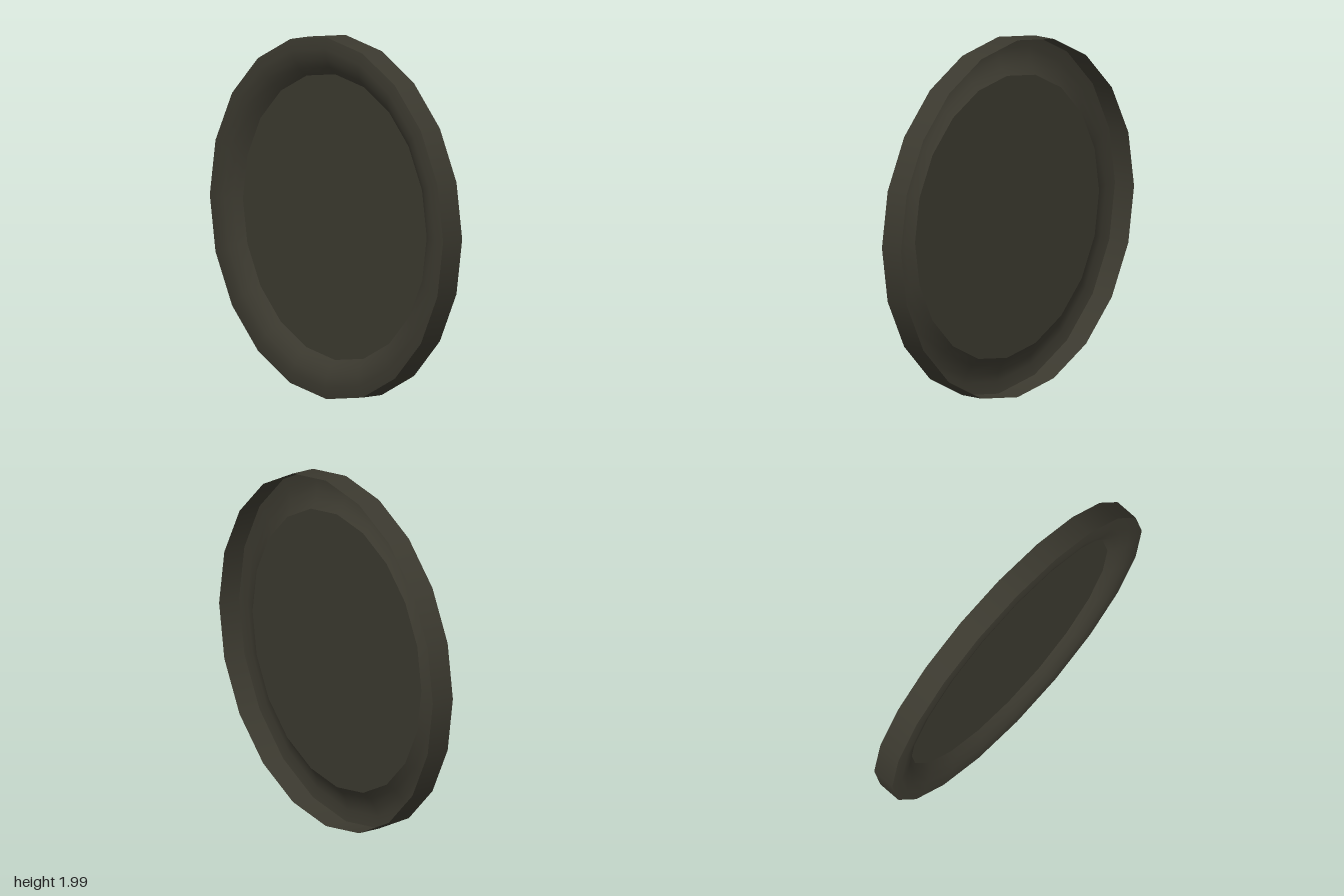
import * as THREE from 'three';

const SIDES = 20;

// Revolves [radius, z] points around the z axis
function revolve(points, material, name) {
  const geometry = new THREE.LatheGeometry(points.map(([r, z]) => new THREE.Vector2(r, z)), SIDES);
  geometry.rotateX(Math.PI / 2);
  const mesh = new THREE.Mesh(geometry, material);
  mesh.name = name;
  return mesh;
}

// Flat tapered hand running from its tail to its tip through the pivot
function makeHand(name, material, tip, tail, z, [tipWidth, midWidth, tailWidth]) {
  const [dx, dy] = [tip[0] - tail[0], tip[1] - tail[1]];
  const length = Math.hypot(dx, dy);
  const mid = length * 0.26;
  const shape = new THREE.Shape([
    [-tailWidth / 2, 0], [tailWidth / 2, 0], [midWidth / 2, mid],
    [tipWidth / 2, length], [-tipWidth / 2, length], [-midWidth / 2, mid],
  ].map(([x, y]) => new THREE.Vector2(x, y)));
  const mesh = new THREE.Mesh(new THREE.ShapeGeometry(shape), material);
  mesh.name = name;
  mesh.position.set(tail[0], tail[1], z);
  mesh.rotation.z = Math.atan2(dy, dx) - Math.PI / 2;
  return mesh;
}

export function createModel() {
  const darkMetal = new THREE.MeshStandardMaterial({ color: 0x3b392f, side: THREE.DoubleSide });
  darkMetal.name = 'darkOlive';

  const clock = new THREE.Group();
  clock.name = 'wallClock';

  // Casing: open-backed shell with a rounded rim dipping to the dial
  const casing = new THREE.Group();
  casing.name = 'casing';
  casing.add(
    revolve([[1, -0.073], [1, 0.06]], darkMetal, 'outerWall'),
    revolve([[1, 0.06], [0.935, 0.07], [0.88, 0.06], [0.83, 0.036], [0.79, 0]], darkMetal, 'rim'),
  );

  // Dial
  const dial = new THREE.Mesh(new THREE.CircleGeometry(0.79, SIDES), darkMetal);
  dial.name = 'dial';
  casing.add(dial);
  casing.scale.y = 0.993;
  clock.add(casing);

  // Hands, stacked in front of the dial
  clock.add(
    makeHand('hourHand', darkMetal, [0.384, 0.267], [-0.205, -0.152], 0.03, [0.032, 0.03, 0.04]),
    makeHand('minuteHand', darkMetal, [-0.464, 0.427], [0.145, -0.187], 0.042, [0.026, 0.032, 0.032]),
    makeHand('secondHand', darkMetal, [-0.018, 0.712], [-0.021, -0.252], 0.054, [0.006, 0.034, 0.026]),
  );

  clock.position.y = 0.993;
  const model = new THREE.Group();
  model.add(clock);
  return model;
}
